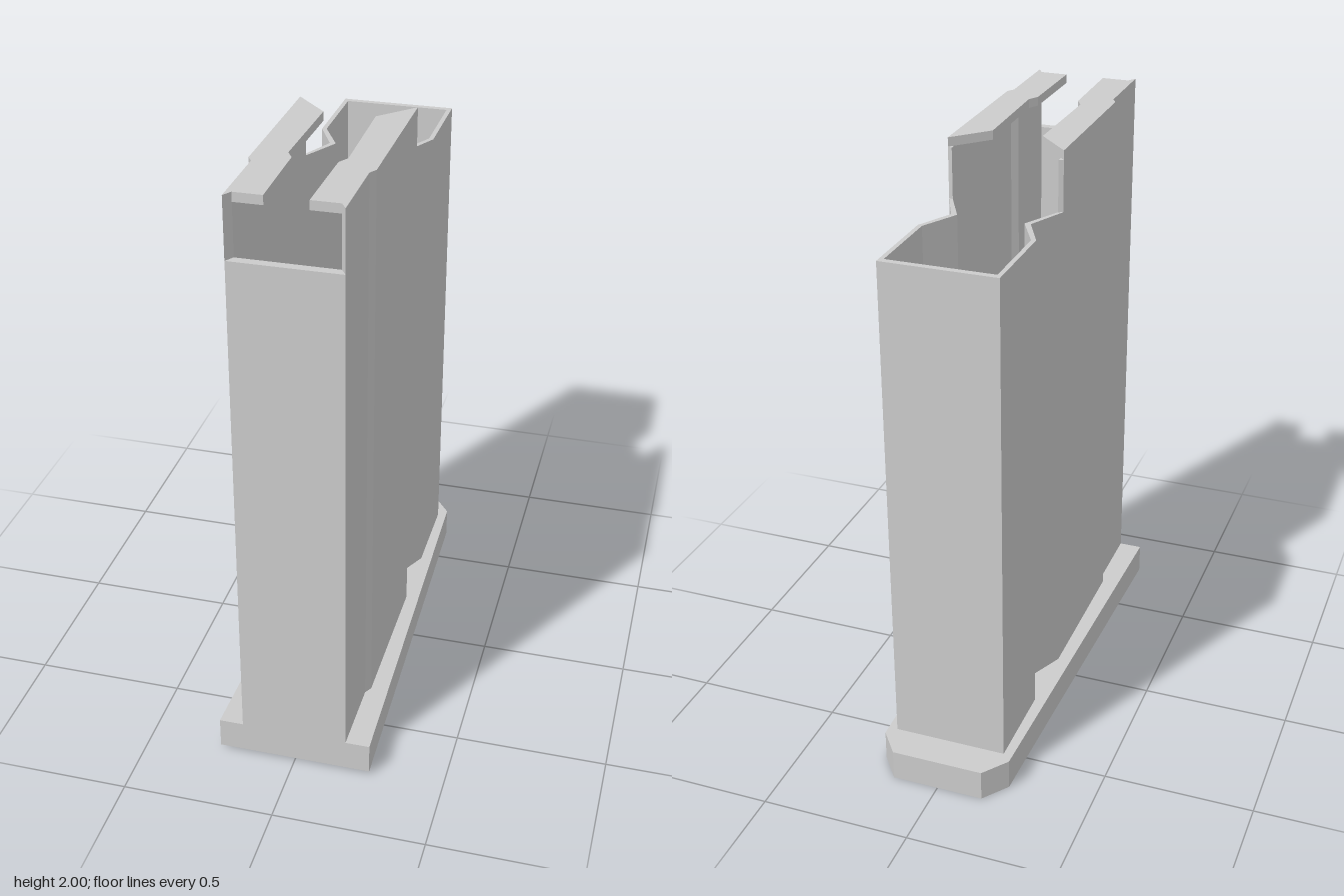
import * as THREE from 'three';

const material = new THREE.MeshStandardMaterial({ color: 0xcccccc, flatShading: true });

// Points are [x, z] in plan.
const toVectors = (pts) => pts.map(([x, z]) => new THREE.Vector2(x, -z));

// Plan outline raised between two heights, with an optional hole.
function prism(name, pts, y0, y1, hole) {
  const shape = new THREE.Shape(toVectors(pts));
  if (hole) shape.holes.push(new THREE.Path(toVectors(hole)));
  const geo = new THREE.ExtrudeGeometry(shape, { depth: y1 - y0, bevelEnabled: false });
  geo.rotateX(-Math.PI / 2).translate(0, y0, 0);
  const mesh = new THREE.Mesh(geo, material);
  mesh.name = name;
  return mesh;
}

const mirrorX = (pts) => pts.map(([x, z]) => [-x, z]);
const closed = (half) => [...half, ...mirrorX(half).reverse()];

export function createModel() {
  const model = new THREE.Group();
  model.name = 'boxMagazine';
  const body = new THREE.Group();
  body.name = 'magazineBody';
  body.rotation.x = -0.009; // slight forward rake
  model.add(body);

  const bottom = 0.007, plateTop = 0.112, shellTop = 1.797, lipBottom = 1.965, top = 1.995;

  // Floor plate: tapers to the back, with chamfered rear corners
  body.add(prism('floorPlate', closed([[0.255, 0.745], [0.22, -0.66], [0.155, -0.745]]), bottom, plateTop));

  // Half outlines of the shell, front to back
  const outerFront = [[0.175, 0.746], [0.175, 0.485], [0.19, 0.46], [0.19, -0.072]];
  const innerFront = [[0.157, 0.717], [0.157, 0.478], [0.175, 0.453], [0.175, -0.078]];
  const outer = [...outerFront, [0.13, -0.203], [0.19, -0.323], [0.19, -0.629]];
  const inner = [...innerFront, [0.11, -0.203], [0.175, -0.327], [0.175, -0.608]];
  body.add(prism('shell', closed(outer), plateTop - 0.01, shellTop, closed(inner)));

  // Taller side walls and the feed lips folded inward over them
  const wall = [...outerFront, ...[...innerFront].reverse()];
  const lip = [
    ...outerFront,
    [0.083, 0.04], [0.09, 0.395], [0.07, 0.43], [0.066, 0.717], [0.157, 0.717],
  ];
  for (const [side, fit] of [['left', (p) => p], ['right', mirrorX]]) {
    body.add(prism(side + 'UpperWall', fit(wall), shellTop, lipBottom));
    body.add(prism(side + 'FeedLip', fit(lip), lipBottom, top));
  }
  return model;
}
